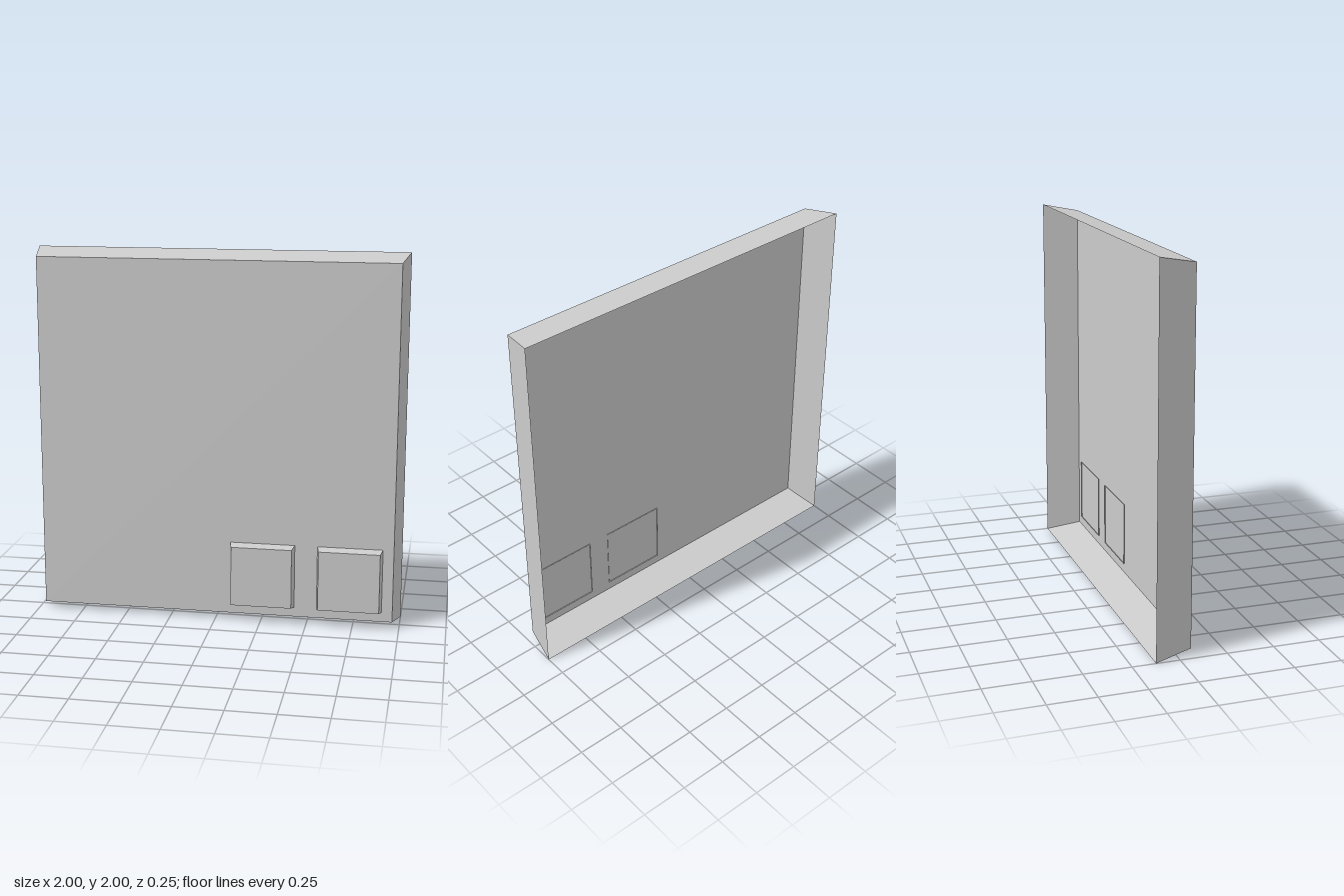
import * as THREE from 'three';

const material = new THREE.MeshStandardMaterial({
  color: 0xcccccc, flatShading: true, side: THREE.DoubleSide,
});

// Open-backed square shell whose front is smaller than its back rim by `inset` per side
function taperedShell(name, size, inset, x, y, zBack, zFront) {
  const geometry = new THREE.BoxGeometry(size, size, zFront - zBack);
  const p = geometry.attributes.position;
  const k = (size - 2 * inset) / size;
  for (let i = 0; i < p.count; i++) {
    if (p.getZ(i) > 0) p.setXY(i, p.getX(i) * k, p.getY(i) * k);
  }
  // The back is the last of the six box sides: leave it out
  geometry.setIndex([...geometry.index.array].slice(0, 30));
  geometry.clearGroups();
  geometry.computeVertexNormals();
  const mesh = new THREE.Mesh(geometry, material);
  mesh.name = name;
  mesh.position.set(x, y, (zBack + zFront) / 2);
  return mesh;
}

export function createModel() {
  const model = new THREE.Group();
  model.name = 'wallPanel';

  // Large square panel, hollow behind
  model.add(taperedShell('panel', 2, 0.037, 0, 1, -0.126, 0.07));

  // Two square buttons in the lower corner, their rims just piercing the panel
  const buttons = [['innerButton', 0.258], ['outerButton', 0.73]];
  for (const [name, x] of buttons) {
    model.add(taperedShell(name, 0.352, 0.012, x, 0.265, 0.066, 0.126));
  }
  return model;
}
